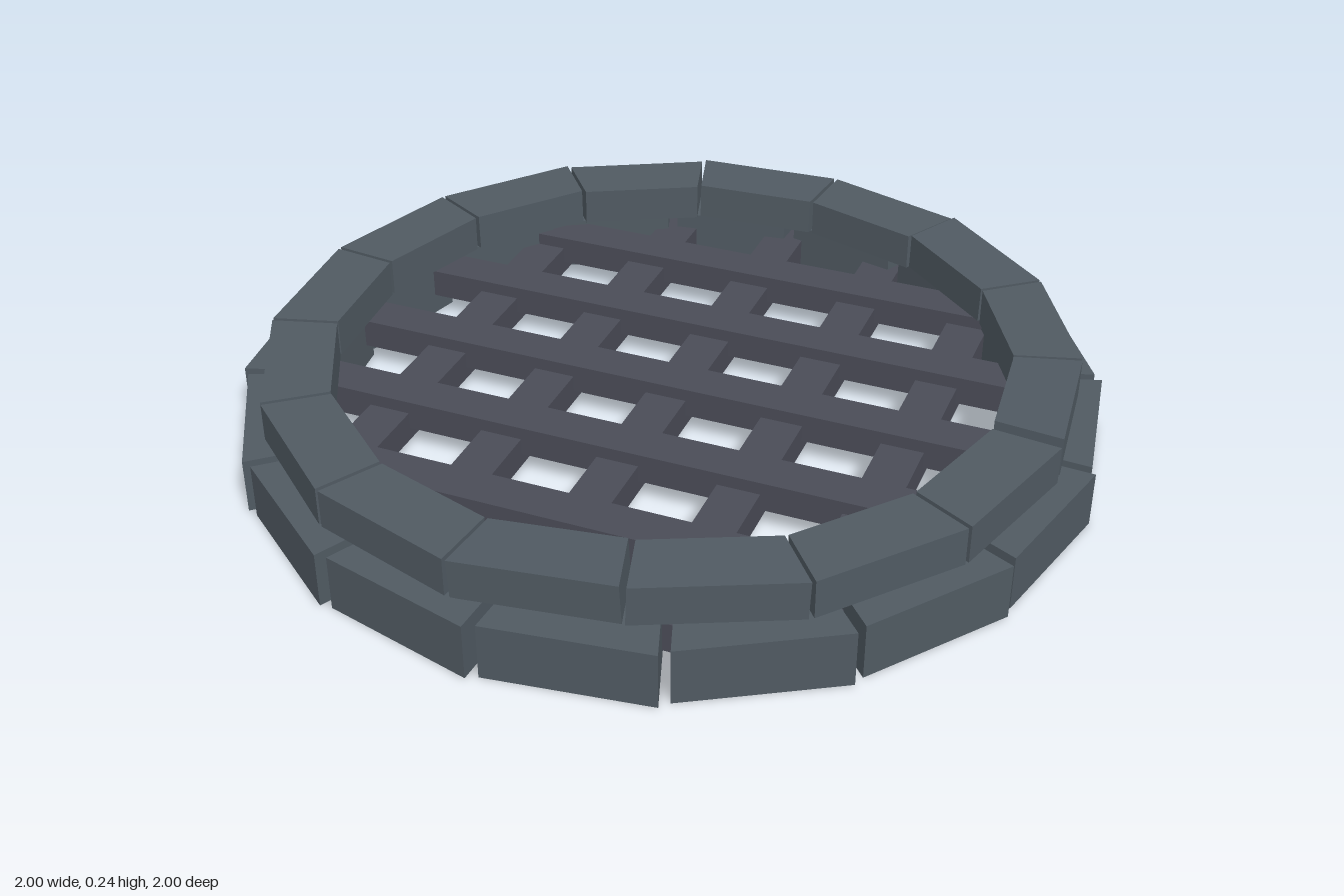
import * as THREE from 'three';

const stone = new THREE.MeshStandardMaterial({ color: 0x505a62, roughness: 0.9, flatShading: true });
const iron = new THREE.MeshStandardMaterial({ color: 0x4a4c57, roughness: 0.8, flatShading: true });
const COUNT = 16;
const STEP = (Math.PI * 2) / COUNT;

// Block tapered toward the ring centre; local +z points outward
function wedgeGeometry(innerR, outerR, height, gap) {
  const zIn = innerR * Math.cos(STEP / 2), zOut = outerR * Math.cos(STEP / 2);
  const mid = (zIn + zOut) / 2;
  const geo = new THREE.BoxGeometry(1, height, zOut - zIn);
  const p = geo.attributes.position;
  for (let i = 0; i < p.count; i++) {
    const r = p.getZ(i) > 0 ? outerR : innerR;
    p.setX(i, Math.sign(p.getX(i)) * (r * Math.sin(STEP / 2) - gap / 2));
  }
  geo.computeVertexNormals();
  return { geo, mid };
}

// Ring of blocks running clockwise from the back, seen from above
function ring(name, o) {
  const group = new THREE.Group();
  group.name = name;
  const { geo, mid } = wedgeGeometry(o.innerR, o.outerR, o.height, o.gap);
  for (let k = 0; k < COUNT; k++) {
    const theta = Math.PI - (o.start + (k + 0.5) * STEP);
    const roll = o.rolls[k] || 0;
    const block = new THREE.Mesh(geo, stone);
    block.name = name + 'Block';
    block.rotation.order = 'YXZ';
    block.rotation.set(0, theta + o.yaw, roll);
    block.position.set(mid * Math.sin(theta), o.y + o.height / 2 + Math.abs(roll) * 0.16, mid * Math.cos(theta));
    group.add(block);
  }
  return group;
}

export function createModel() {
  const model = new THREE.Group();
  model.name = 'stoneRingGrate';

  // Two courses of stone, the upper one with a few unsettled blocks
  const lower = ring('lowerCourse', {
    innerR: 0.81, outerR: 0.995, height: 0.13, y: 0, gap: 0.024, start: 0.02, yaw: -0.04, rolls: {},
  });
  const upper = ring('upperCourse', {
    innerR: 0.785, outerR: 0.94, height: 0.09, y: 0.13, gap: 0.01, start: 0.108, yaw: 0,
    rolls: { 1: 0.02, 3: -0.045, 6: -0.04, 7: 0.05, 13: -0.015, 15: 0.015 },
  });
  upper.position.set(-0.005, 0, -0.008);
  model.add(lower, upper);

  // Crossed bars cut to the chord of the ring
  const grate = new THREE.Group();
  grate.name = 'grate';
  for (let i = -2; i <= 2; i++) {
    const off = i * 0.285;
    const length = 2 * Math.sqrt(0.86 ** 2 - off ** 2);
    const long = new THREE.Mesh(new THREE.BoxGeometry(0.1, 0.07, length), iron);
    long.name = 'lowerBar';
    long.position.set(off, 0.055, 0);
    const cross = new THREE.Mesh(new THREE.BoxGeometry(length, 0.07, 0.1), iron);
    cross.name = 'upperBar';
    cross.position.set(0, 0.085, off);
    grate.add(long, cross);
  }
  grate.position.z = -0.013;
  model.add(grate);
  return model;
}
